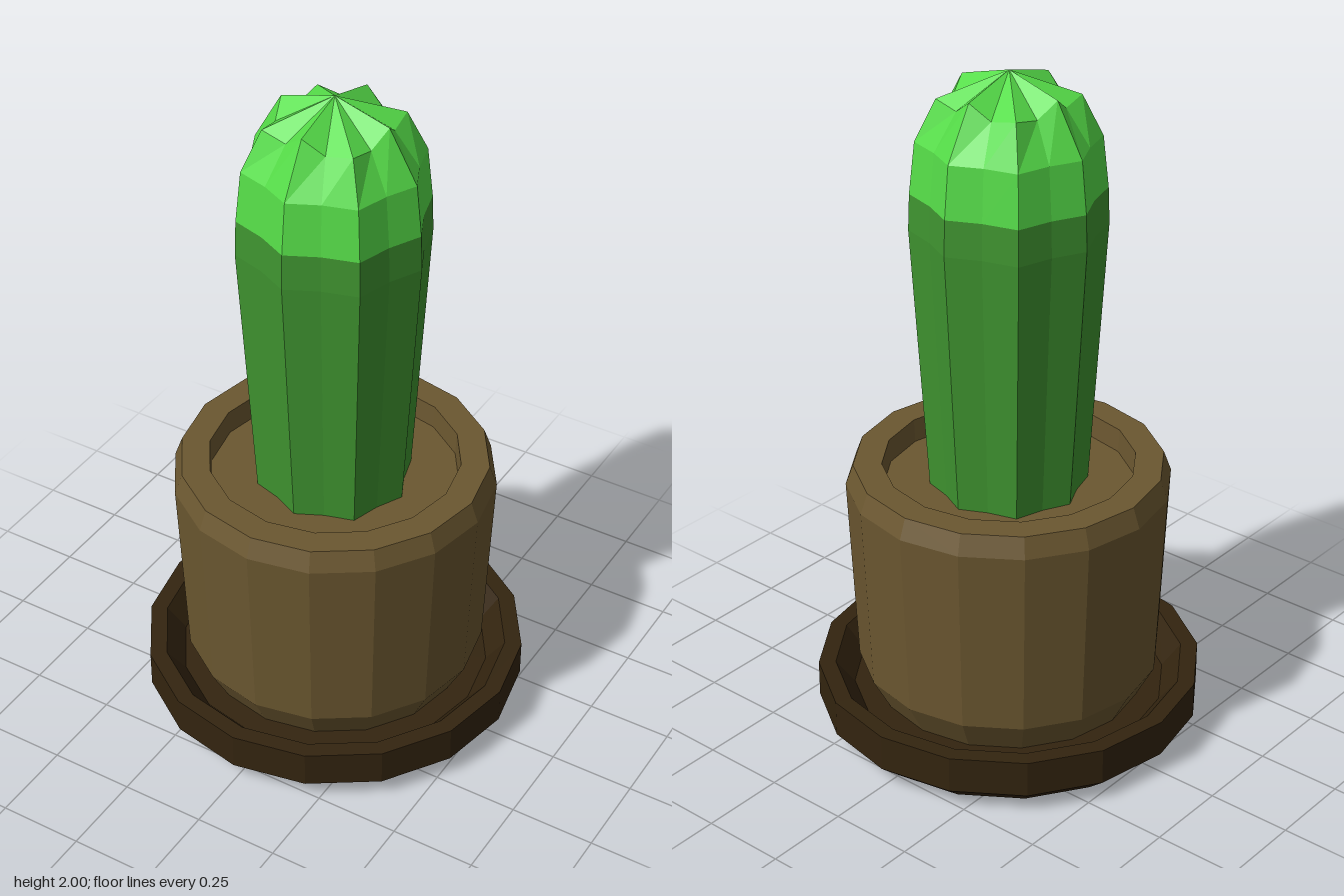
import * as THREE from 'three';

const mat = (name, color) => new THREE.MeshStandardMaterial({ name, color, flatShading: true });

// Faceted sixteen-sided turned part from [radius, height] pairs
function turned(name, material, profile) {
  const points = profile.map(([r, y]) => new THREE.Vector2(r, y));
  const mesh = new THREE.Mesh(new THREE.LatheGeometry(points, 16), material);
  mesh.name = name;
  return mesh;
}

// Ribbed body: each ring gives [radius, height] for straight ribs, grooves and diagonal ribs
function ribbed(name, material, rings) {
  const pos = [];
  const point = (ring, j) => {
    const k = j % 4;
    const [r, y] = ring[k === 0 ? 0 : k === 2 ? 2 : 1];
    const a = (j * Math.PI) / 8;
    return [r * Math.sin(a), y, r * Math.cos(a)];
  };
  for (let i = 0; i < rings.length - 1; i++) {
    for (let j = 0; j < 16; j++) {
      const a = point(rings[i], j), b = point(rings[i], j + 1);
      const c = point(rings[i + 1], j + 1), d = point(rings[i + 1], j);
      pos.push(...a, ...b, ...c);
      if (rings[i + 1][0][0] > 0) pos.push(...a, ...c, ...d);
    }
  }
  const geo = new THREE.BufferGeometry();
  geo.setAttribute('position', new THREE.Float32BufferAttribute(pos, 3));
  geo.computeVertexNormals();
  const mesh = new THREE.Mesh(geo, material);
  mesh.name = name;
  return mesh;
}

// Level ring with shallow grooves
const level = (r, y) => [[r, y], [r * 0.9, y], [r * 1.02, y]];

export function createModel() {
  const clay = mat('clay brown', 0x6b5730);
  const darkClay = mat('dark brown', 0x33240f);
  const green = mat('cactus green', 0x3f9430);
  const lightGreen = mat('light green', 0x55dc48);

  const model = new THREE.Group();
  model.name = 'pottedCactus';

  // Saucer with a raised rim
  model.add(turned('saucer', darkClay, [
    [0, 0], [0.495, 0], [0.565, 0.06], [0.565, 0.17],
    [0.515, 0.17], [0.46, 0.1], [0, 0.1],
  ]));

  // Pot with bevelled foot and lip, and the soil surface inside
  model.add(turned('pot', clay, [
    [0.39, 0.1], [0.443, 0.2], [0.468, 0.77], [0.446, 0.83],
    [0.364, 0.83], [0.36, 0.76],
  ]));
  model.add(turned('soil', clay, [[0.36, 0.76], [0, 0.76]]));

  // Cactus stem and its lighter crown
  model.add(ribbed('cactusStem', green, [
    level(0.222, 0.74), level(0.27, 1.55), level(0.266, 1.655),
  ]));
  const tip = [0, 2];
  model.add(ribbed('cactusCrown', lightGreen, [
    level(0.266, 1.655),
    level(0.25, 1.805),
    [[0.165, 1.953], [0.158, 1.91], [0.196, 1.925]],
    [tip, tip, tip],
  ]));

  return model;
}
